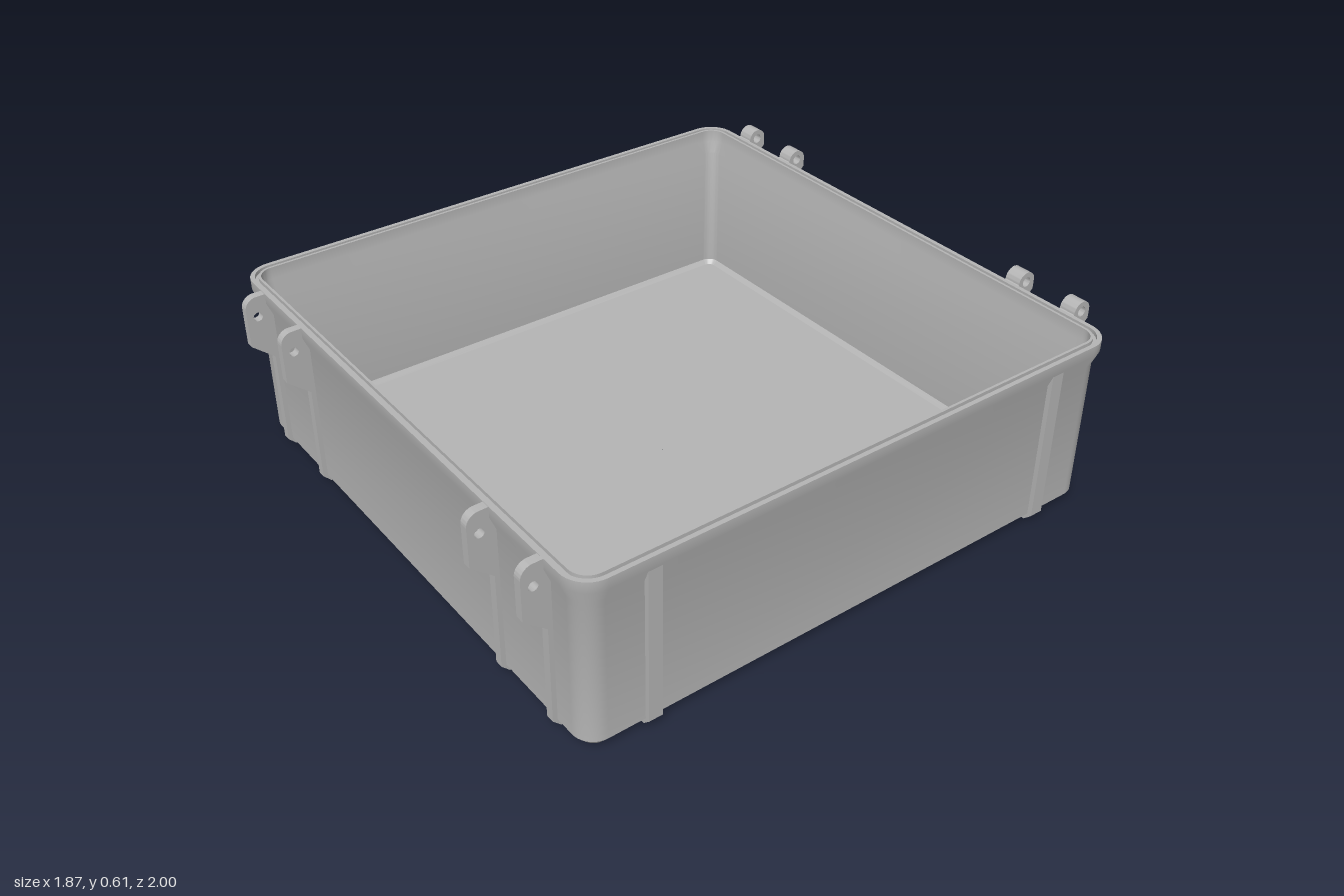
import * as THREE from 'three';
import { toCreasedNormals } from 'three/addons/utils/BufferGeometryUtils.js';

const RIM = 0.933, RADIUS = 0.085, HEIGHT = 0.57;

// Rounded square ring with half-width h, corners concentric with the rim corners
function ring(h, y, steps = 10) {
  const r = Math.max(h - (RIM - RADIUS), 0.0005), c = h - r, pts = [];
  for (let q = 0; q < 4; q++) {
    const sx = q === 0 || q === 3 ? 1 : -1, sz = q < 2 ? 1 : -1;
    for (let i = 0; i <= steps; i++) {
      const a = (q + i / steps) * Math.PI / 2;
      pts.push([sx * c + r * Math.cos(a), y, sz * c + r * Math.sin(a)]);
    }
  }
  return pts;
}

// Skin a profile of [halfWidth, y] rings into one surface
function loft(profile) {
  const rings = profile.map(([h, y]) => ring(h, y));
  const n = rings[0].length, index = [];
  for (let i = 0; i < rings.length - 1; i++) {
    for (let j = 0; j < n; j++) {
      const k = (j + 1) % n;
      const a = i * n + j, b = i * n + k, c = a + n, d = b + n;
      index.push(a, c, b, c, d, b);
    }
  }
  const g = new THREE.BufferGeometry();
  g.setAttribute('position', new THREE.Float32BufferAttribute(rings.flat(2), 3));
  g.setIndex(index);
  return toCreasedNormals(g, 0.42);
}

// Extrude an outline drawn in (outward, up) to a plate centred across its width
function plate(shape, width) {
  const g = new THREE.ExtrudeGeometry(shape, { depth: width, bevelEnabled: false, curveSegments: 12 });
  g.translate(0, 0, -width / 2);
  g.rotateY(-Math.PI / 2);
  return toCreasedNormals(g, 0.5);
}

function outline(points) {
  const s = new THREE.Shape();
  s.moveTo(...points[0]);
  points.slice(1).forEach(p => s.lineTo(...p));
  return s;
}

function addHole(shape, x, y, r) {
  const hole = new THREE.Path();
  hole.absarc(x, y, r, 0, Math.PI * 2, true);
  shape.holes.push(hole);
}

export function createModel() {
  const model = new THREE.Group();
  model.name = 'openCaseBase';
  const grey = new THREE.MeshStandardMaterial({ color: 0xb4b4b4 });
  grey.name = 'grey plastic';

  const add = (name, geometry, x = 0, z = 0, turn = 0) => {
    const mesh = new THREE.Mesh(geometry, grey);
    mesh.name = name;
    mesh.position.set(x, 0, z);
    mesh.rotation.y = turn;
    model.add(mesh);
  };

  // Tray: underside, chamfer, wall, flared rim with seal groove, inner wall, floor
  add('tray', loft([
    [0.001, 0], [0.89, 0], [0.915, 0.03], [0.915, 0.49], [RIM, 0.535], [RIM, HEIGHT],
    [0.919, HEIGHT], [0.919, 0.558], [0.908, 0.558], [0.908, HEIGHT], [0.9, HEIGHT],
    [0.9, 0.53], [0.886, 0.49], [0.886, 0.045], [0.872, 0.03], [0.001, 0.03],
  ]));

  // Front latch lugs, each running down into a thin rib
  const lug = outline([[0.89, 0.005], [0.905, 0.005], [0.93, 0.03], [0.93, 0.345], [1, 0.405], [1, 0.53]]);
  lug.absarc(0.962, 0.531, 0.038, 0, Math.PI / 2, false);
  lug.lineTo(0.925, 0.569);
  lug.lineTo(0.925, 0.53);
  lug.lineTo(0.905, 0.49);
  lug.lineTo(0.905, 0.02);
  addHole(lug, 0.964, 0.5, 0.015);
  const lugGeometry = plate(lug, 0.027);
  for (const x of [-0.775, -0.527, 0.522, 0.77]) add('latchLug', lugGeometry, x);

  // Back hinge knuckles with wider ribs below
  const hinge = outline([[0.89, 0.005], [0.905, 0.005], [0.93, 0.03], [0.93, 0.47], [1, 0.54], [1, 0.572]]);
  hinge.absarc(0.967, 0.572, 0.033, 0, Math.PI, false);
  hinge.lineTo(0.925, 0.565);
  hinge.lineTo(0.925, 0.53);
  hinge.lineTo(0.905, 0.49);
  hinge.lineTo(0.905, 0.02);
  addHole(hinge, 0.967, 0.572, 0.016);
  const hingeGeometry = plate(hinge, 0.055);
  for (const x of [-0.76, -0.541, 0.535, 0.753]) add('hingeKnuckle', hingeGeometry, x, 0, Math.PI);

  // Side ribs
  const rib = outline([[0.89, 0.005], [0.905, 0.005], [0.93, 0.03], [0.93, 0.53], [0.905, 0.53], [0.905, 0.02]]);
  const ribGeometry = plate(rib, 0.043);
  for (const side of [-1, 1]) {
    for (const z of [-0.707, 0.711]) add('sideRib', ribGeometry, 0, z, side * Math.PI / 2);
  }

  return model;
}
